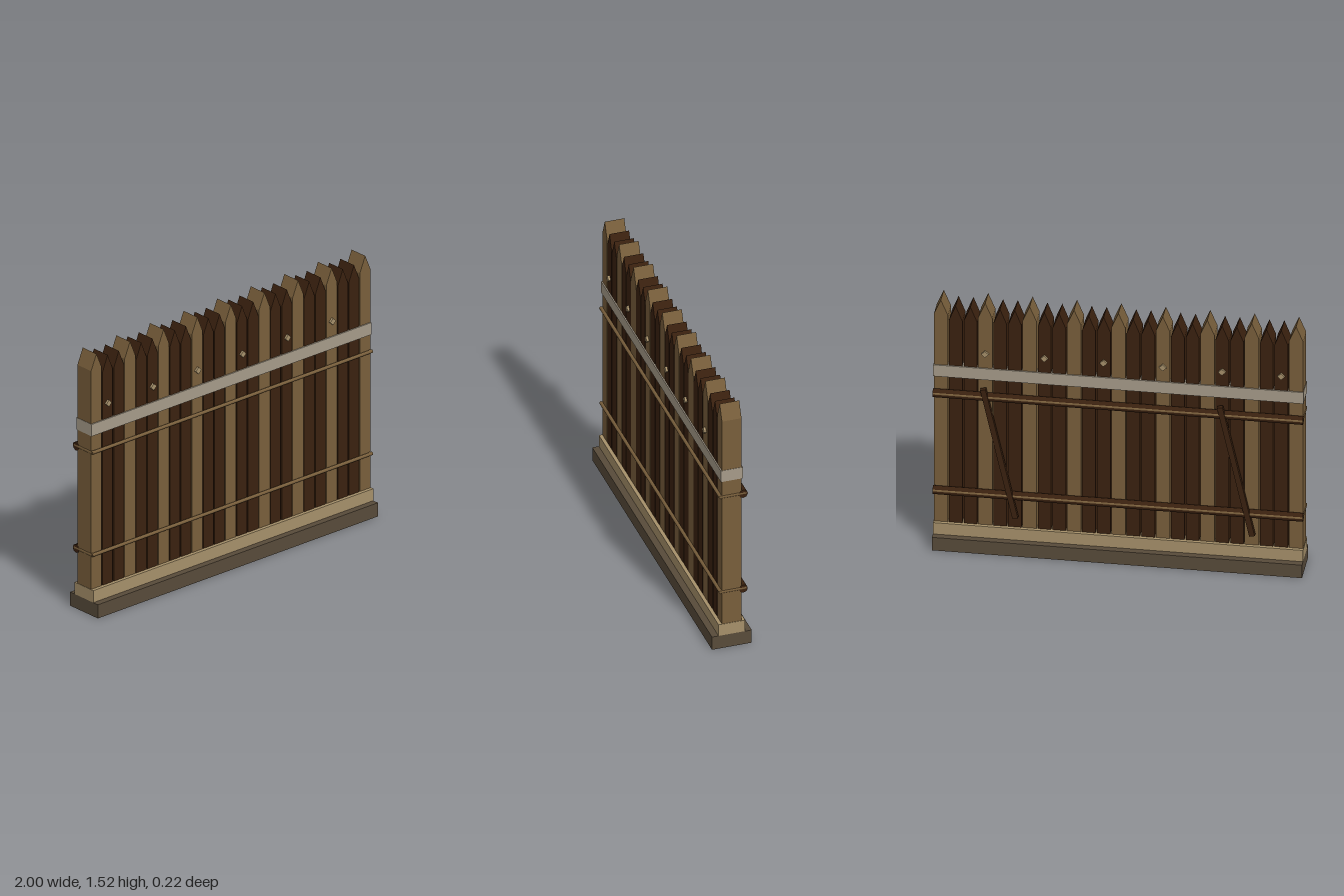
import * as THREE from 'three';

const mat = (name, color) => {
  const m = new THREE.MeshStandardMaterial({ color });
  m.name = name;
  return m;
};

export function createModel() {
  const fence = new THREE.Group();
  fence.name = 'palisadeFence';

  const lightWood = mat('lightWood', 0x785e3b);
  const darkWood = mat('darkWood', 0x3a210f);
  const footing = mat('footingBrown', 0x584b3a);
  const tan = mat('tanWood', 0xa6906a);
  const grey = mat('greyBinding', 0xa69b89);

  const add = (name, geometry, material, x, y, z, parent = fence) => {
    const mesh = new THREE.Mesh(geometry, material);
    mesh.name = name;
    mesh.position.set(x, y, z);
    parent.add(mesh);
    return mesh;
  };
  const box = (w, h, d) => new THREE.BoxGeometry(w, h, d);

  // Pointed stake, extruded front to back so the tip is a ridge
  const stakeGeometry = (width, shoulder, tip) => {
    const w = width / 2;
    const shape = new THREE.Shape();
    shape.moveTo(-w, 0.08);
    shape.lineTo(w, 0.08);
    shape.lineTo(w, shoulder);
    shape.lineTo(0, tip);
    shape.lineTo(-w, shoulder);
    shape.closePath();
    const g = new THREE.ExtrudeGeometry(shape, { depth: 0.11, bevelEnabled: false });
    return g.translate(0, 0, -0.055);
  };
  const tallStake = stakeGeometry(0.076, 1.43, 1.52);
  const shortStake = stakeGeometry(0.072, 1.4, 1.49);
  const blockGeometry = box(0.08, 0.07, 0.15);
  const bandGeometry = box(0.08, 0.07, 0.124);
  const studGeometry = box(0.028, 0.028, 0.135);

  // Footing beam
  add('footing', box(2, 0.08, 0.224), footing, 0, 0.04, 0);

  // Stakes, each with its foot block and binding; a stud on every fourth
  for (let i = 0; i < 25; i++) {
    const x = -0.96 + i * 0.08;
    const tall = i % 3 === 0;
    add(tall ? 'tallStake' : 'shortStake', tall ? tallStake : shortStake, tall ? lightWood : darkWood, x, 0, 0);
    add('footBlock', blockGeometry, tan, x, 0.115, 0);
    add('binding', bandGeometry, grey, x, 1.085, 0);
    if (i % 4 === 1) add('stud', studGeometry, tan, x, 1.21, 0).rotation.z = Math.PI / 4;
  }

  // Back rails, each with a thin rod loop around the whole fence
  const railGeometry = new THREE.CylinderGeometry(0.025, 0.025, 2, 8).rotateZ(Math.PI / 2);
  const rodGeometry = new THREE.CylinderGeometry(0.01, 0.01, 2, 8).rotateZ(Math.PI / 2);
  const endGeometry = new THREE.CylinderGeometry(0.01, 0.01, 0.145, 8).rotateX(Math.PI / 2);
  for (const y of [0.35, 0.95]) {
    add('backRail', railGeometry, darkWood, 0, y, -0.065);
    add('frontRod', rodGeometry, lightWood, 0, y + 0.003, 0.063);
    add('backRod', rodGeometry, lightWood, 0, y + 0.003, -0.08);
    for (const side of [-1, 1]) add('endRod', endGeometry, lightWood, side * 0.992, y + 0.003, -0.009);
  }

  // Leaning braces on the back
  for (const side of [-1, 1]) {
    add('backBrace', box(0.03, 0.8, 0.026), darkWood, side * 0.64, 0.615, -0.082).rotation.z = -0.22;
  }

  return fence;
}
